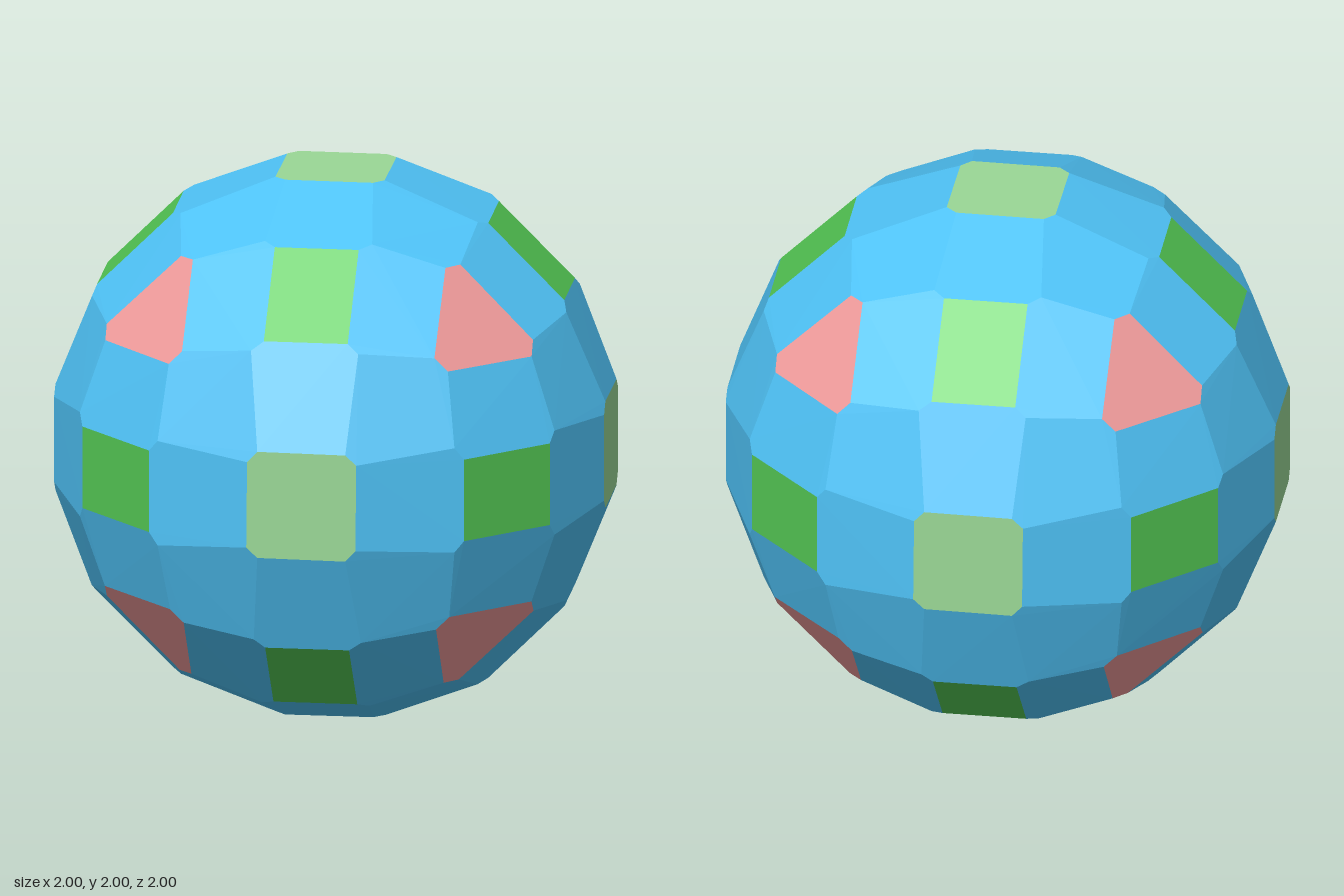
import * as THREE from 'three';
import { ConvexGeometry } from 'three/addons/geometries/ConvexGeometry.js';

// One corner of each kind; the 24 cube rotations supply all the others
const SEEDS = [
  [-0.16, 0.2, 1], [0.16, 0.197, 1],                 // axis plates
  [-0.15, 0.85, 0.573], [0.155, 0.85, 0.573],        // edge plates
  [0.462, 0.775, 0.505], [0.51, 0.776, 0.456],       // corner plates
  [-0.2, 0.54, 0.863], [0.19, 0.54, 0.863],          // joints between shell panels
];

function cubeRotations() {
  const rotations = [];
  const orders = [[0, 1, 2, 1], [1, 2, 0, 1], [2, 0, 1, 1], [0, 2, 1, -1], [2, 1, 0, -1], [1, 0, 2, -1]];
  for (const [a, b, c, parity] of orders)
    for (const sx of [1, -1]) for (const sy of [1, -1]) {
      const sz = parity * sx * sy;
      rotations.push((p) => new THREE.Vector3(sx * p[a], sy * p[b], sz * p[c]));
    }
  return rotations;
}

// Which plate a facet belongs to, from the direction it faces
function plateOf(normal) {
  const n = [normal.x, normal.y, normal.z].map(Math.abs).sort((p, q) => q - p);
  const faces = (x, y, z) => (n[0] * x + n[1] * y + n[2] * z) / Math.hypot(x, y, z) > 0.998;
  if (faces(1, 0, 0)) return 'axisPlates';
  if (faces(1, 1, 0)) return 'edgePlates';
  if (faces(1, 1, 1)) return 'cornerPlates';
  return 'shellPanels';
}

export function createModel() {
  const group = new THREE.Group();
  group.name = 'facetedBall';

  const rotations = cubeRotations();
  const corners = SEEDS.flatMap((seed) => rotations.map((rotate) => rotate(seed)));
  const hull = new ConvexGeometry(corners);
  hull.translate(0, 1, 0);

  // Sort the hull's facets into one mesh per colour
  const colors = { shellPanels: 0x4fc3f7, axisPlates: 0x9ad896, edgePlates: 0x53c653, cornerPlates: 0xef9a9a };
  const facets = { shellPanels: [], axisPlates: [], edgePlates: [], cornerPlates: [] };
  const position = hull.getAttribute('position');
  const tri = new THREE.Triangle();
  const normal = new THREE.Vector3();
  for (let i = 0; i < position.count; i += 3) {
    tri.setFromAttributeAndIndices(position, i, i + 1, i + 2);
    tri.getNormal(normal);
    const list = facets[plateOf(normal)];
    for (const v of [tri.a, tri.b, tri.c]) list.push(v.x, v.y, v.z);
  }

  for (const [name, list] of Object.entries(facets)) {
    const geometry = new THREE.BufferGeometry();
    geometry.setAttribute('position', new THREE.Float32BufferAttribute(list, 3));
    geometry.computeVertexNormals();
    const mesh = new THREE.Mesh(geometry, new THREE.MeshStandardMaterial({ color: colors[name], flatShading: true }));
    mesh.name = name;
    group.add(mesh);
  }
  return group;
}
